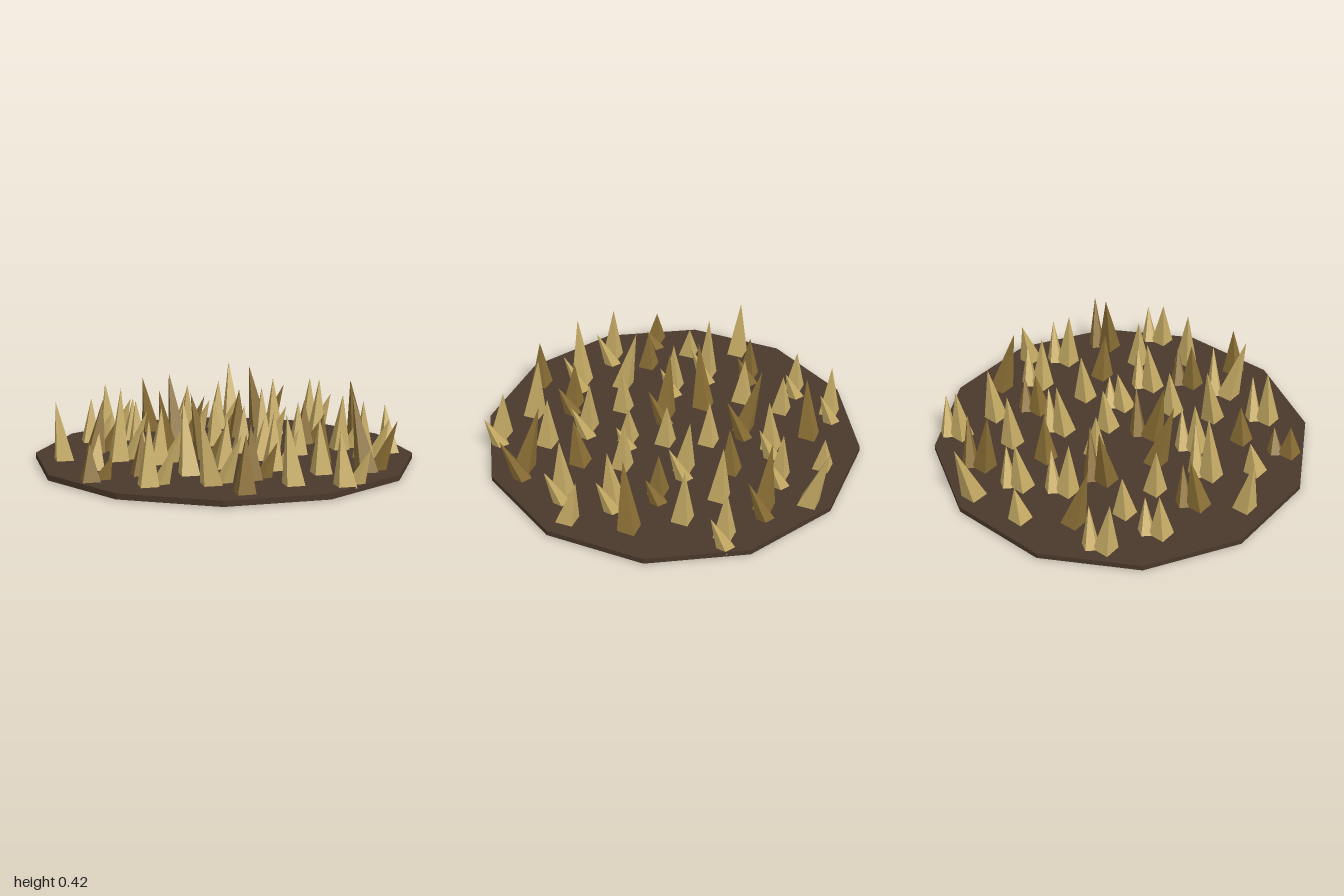
import * as THREE from 'three';

const soil = new THREE.MeshStandardMaterial({ color: 0x4a382b, flatShading: true });
soil.name = 'dark soil';
const straw = new THREE.MeshStandardMaterial({ color: 0xc8ad66, flatShading: true });
straw.name = 'pale straw';
const ochre = new THREE.MeshStandardMaterial({ color: 0x8b6f35, flatShading: true });
ochre.name = 'dark ochre';

const DISC_TOP = 0.043, ROOT = 0.028;

// Blades as [base x, base z, tip x, tip z, tip height]
const paleSingle = [
  [-0.03, -0.86, -0.01, -0.87, 0.24], [0.28, -0.88, 0.29, -0.98, 0.4], [-0.42, -0.49, -0.41, -0.5, 0.28],
  [0.42, -0.44, 0.42, -0.46, 0.37], [0.65, -0.33, 0.67, -0.35, 0.37], [0.01, -0.22, 0, -0.22, 0.3],
  [-0.43, -0.25, -0.44, -0.26, 0.31], [-0.87, -0.06, -0.91, -0.06, 0.36], [0.1, 0, 0.12, -0.02, 0.3],
  [0.38, 0.13, 0.39, 0.11, 0.33], [0.88, 0.21, 0.88, 0.15, 0.3], [-0.75, 0.21, -0.72, 0.19, 0.23],
  [-0.09, 0.34, -0.07, 0.33, 0.31], [-0.3, 0.44, -0.31, 0.35, 0.41], [0.36, 0.59, 0.35, 0.58, 0.33],
  [0.15, 0.78, 0.12, 0.75, 0.39],
];
const palePaired = [
  [-0.51, -0.75, -0.53, -0.74, 0.33], [0.13, -0.67, 0.15, -0.69, 0.33], [0.68, -0.57, 0.69, -0.58, 0.34],
  [-0.08, -0.55, -0.08, -0.53, 0.34], [-0.66, -0.49, -0.65, -0.5, 0.29], [0.27, -0.18, 0.28, -0.22, 0.36],
  [-0.59, 0.03, -0.57, 0.01, 0.43], [0.65, 0.06, 0.66, 0.08, 0.35], [-0.4, 0.16, -0.38, 0.15, 0.34],
  [0.15, 0.2, 0.18, 0.18, 0.27], [0.69, 0.33, 0.68, 0.34, 0.36], [0.14, 0.45, 0.16, 0.42, 0.35],
  [-0.55, 0.62, -0.54, 0.6, 0.37], [-0.24, 0.67, -0.31, 0.72, 0.41], [0.39, 0.86, 0.37, 0.84, 0.31],
];
const darkSingle = [
  [-0.26, -0.71, -0.32, -0.66, 0.37], [0.19, -0.42, 0.2, -0.41, 0.32], [0.82, -0.11, 0.75, -0.05, 0.41],
  [-0.29, -0.07, -0.36, -0.01, 0.41], [0.44, 0.35, 0.44, 0.38, 0.31], [-0.54, 0.38, -0.53, 0.37, 0.27],
  [-0.13, 0.88, -0.12, 0.87, 0.33],
];
const darkPaired = [
  [0.4, -0.68, 0.34, -0.69, 0.41], [-0.18, -0.35, -0.21, -0.44, 0.43], [-0.68, -0.2, -0.63, -0.22, 0.33],
  [0.5, -0.13, 0.51, -0.14, 0.29], [-0.13, 0.1, -0.21, 0.1, 0.4], [-0.81, 0.45, -0.81, 0.44, 0.23],
  [-0.02, 0.62, -0.02, 0.6, 0.32], [0.6, 0.61, 0.55, 0.52, 0.43],
];

// A straight pyramid tilted so its point reaches the tip
function blade(name, [x, z, tx, tz, h], radius, sides, material) {
  const axis = new THREE.Vector3(tx - x, h - ROOT, tz - z);
  const length = axis.length();
  const geometry = new THREE.ConeGeometry(radius, length, sides)
    .rotateY(Math.PI / 4)
    .translate(0, length / 2, 0);
  const mesh = new THREE.Mesh(geometry, material);
  mesh.name = name;
  mesh.position.set(x, ROOT, z);
  mesh.quaternion.setFromUnitVectors(new THREE.Vector3(0, 1, 0), axis.normalize());
  return mesh;
}

export function createModel() {
  const model = new THREE.Group();
  model.name = 'grassPatch';

  // Twelve-sided ground disc with flat sides facing the axes
  const thickness = 0.03;
  const disc = new THREE.Mesh(
    new THREE.CylinderGeometry(1.035, 1.035, thickness, 12)
      .rotateY(Math.PI / 12)
      .translate(0, DISC_TOP - thickness / 2, 0),
    soil
  );
  disc.name = 'groundDisc';
  model.add(disc);

  // Tufts: one main blade, sometimes with a smaller one leaning away beside it
  const plant = (list, material, paired) => {
    for (const spec of list) {
      const tuft = new THREE.Group();
      tuft.name = 'grassTuft';
      tuft.add(blade('mainBlade', spec, 0.068, 4, material));
      if (paired) {
        const [x, z, , , h] = spec;
        const bx = x + 0.07, bz = z - 0.035, lean = 0.18 * h;
        const side = [bx, bz, bx + lean, bz + lean, h * 0.72];
        tuft.add(blade('sideBlade', side, 0.05, 5, material));
      }
      model.add(tuft);
    }
  };
  plant(paleSingle, straw, false);
  plant(palePaired, straw, true);
  plant(darkSingle, ochre, false);
  plant(darkPaired, ochre, true);

  return model;
}
